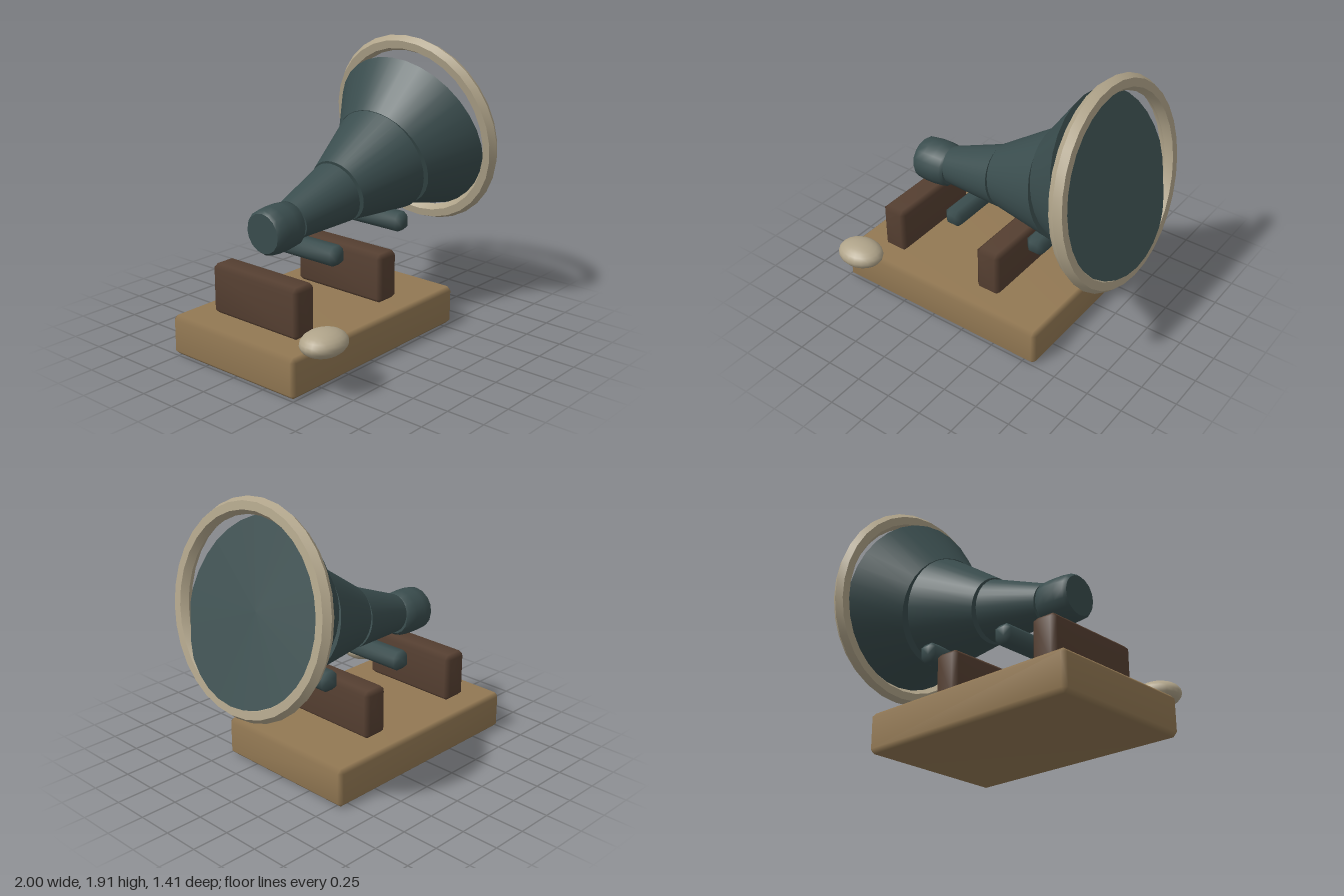
import * as THREE from 'three';
import { mergeVertices, toCreasedNormals } from 'three/addons/utils/BufferGeometryUtils.js';
import { ConvexGeometry } from 'three/addons/geometries/ConvexGeometry.js';

const DEG = Math.PI / 180;
const ZC = -0.027; // depth of the centre line

function material(name, color) {
  const m = new THREE.MeshStandardMaterial({ color });
  m.name = name;
  return m;
}

// Box with one-step chamfers and softly blended normals
function chamferBox(w, h, d, c) {
  const points = [];
  for (const x of [-1, 1]) for (const y of [-1, 1]) for (const z of [-1, 1]) {
    const [a, b, e] = [w / 2, h / 2, d / 2];
    points.push(
      new THREE.Vector3(x * a, y * (b - c), z * (e - c)),
      new THREE.Vector3(x * (a - c), y * b, z * (e - c)),
      new THREE.Vector3(x * (a - c), y * (b - c), z * e));
  }
  let g = new ConvexGeometry(points);
  g.deleteAttribute('normal');
  g = mergeVertices(g, 1e-4);
  g.computeVertexNormals();
  return g;
}

export function createModel() {
  const group = new THREE.Group();
  group.name = 'hornOnStand';
  const teal = material('dark teal', 0x3a4d4e);
  const tan = material('tan wood', 0x927853);
  const brown = material('dark brown wood', 0x553f31);
  const pale = material('pale stone', 0xb0a48a);

  const add = (name, geometry, mat, x, y, z = ZC, tilt = 0) => {
    const mesh = new THREE.Mesh(geometry, mat);
    mesh.name = name;
    mesh.position.set(x, y, z);
    mesh.rotation.z = tilt;
    group.add(mesh);
    return mesh;
  };

  // Base slab and two upright supports
  add('base', chamferBox(1.59, 0.265, 1.055, 0.028), tan, -0.205, 0.1325);
  add('rearSupport', chamferBox(0.183, 0.335, 0.73, 0.03), brown, -0.705, 0.43);
  add('frontSupport', chamferBox(0.183, 0.335, 0.73, 0.03), brown, 0.092, 0.43);

  // Cross bars under the horn
  add('rearCrossBar', chamferBox(0.13, 0.13, 0.525, 0.034), teal, -0.275, 0.645);
  add('frontCrossBar', chamferBox(0.13, 0.13, 0.525, 0.034), teal, 0.388, 0.712);

  // Slightly barrelled end piece
  const profile = [[0, -0.125], [0.13, -0.125], [0.146, -0.105], [0.153, -0.04],
    [0.153, 0.04], [0.146, 0.105], [0.13, 0.125], [0, 0.125]];
  const barrel = new THREE.LatheGeometry(profile.map(p => new THREE.Vector2(...p)), 16);
  add('endPiece', toCreasedNormals(barrel, 50 * DEG), teal, -0.574, 0.852, ZC, 2 * DEG - Math.PI / 2);

  // Widening horn sections: start, end, radii, tilt
  const sections = [
    ['narrowSection', [-0.44, 0.873], [-0.022, 0.96], 0.131, 0.209, 11.7],
    ['middleSection', [0.003, 0.968], [0.436, 1.09], 0.218, 0.37, 15.8],
    ['flaredSection', [0.47, 1.1], [0.777, 1.225], 0.375, 0.594, 22],
  ];
  for (const [name, a, b, r0, r1, tilt] of sections) {
    const length = Math.hypot(b[0] - a[0], b[1] - a[1]);
    add(name, new THREE.CylinderGeometry(r1, r0, length, 32), teal,
      (a[0] + b[0]) / 2, (a[1] + b[1]) / 2, ZC, tilt * DEG - Math.PI / 2);
  }

  // Six-sided rim ring around the mouth
  const ring = new THREE.TorusGeometry(0.627, 0.054, 6, 32).rotateY(Math.PI / 2);
  add('rimRing', toCreasedNormals(ring, 40 * DEG), pale, 0.819, 1.243, -0.023, 11 * DEG);

  // Pebble beside the base
  const pebble = new THREE.SphereGeometry(1, 20, 12).scale(0.165, 0.082, 0.135);
  add('pebble', pebble, pale, -0.805, 0.335, 0.57);

  return group;
}
